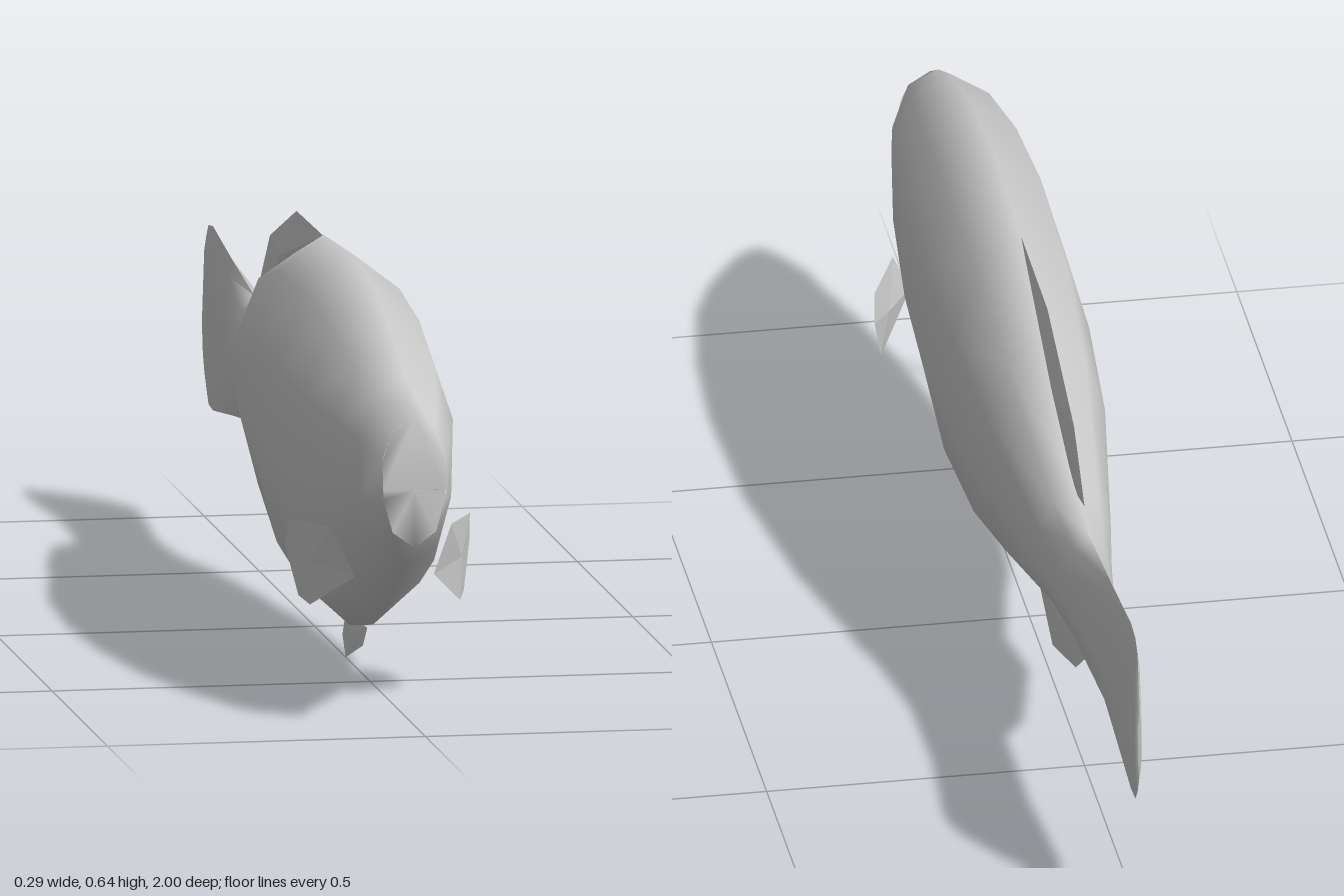
import * as THREE from 'three';
import { mergeGeometries, toCreasedNormals } from 'three/addons/utils/BufferGeometryUtils.js';

const skin = new THREE.MeshStandardMaterial({ color: 0xcccccc });
const finSkin = new THREE.MeshStandardMaterial({ color: 0xcccccc, side: THREE.DoubleSide });

// Half cross-sections from top to bottom: [x / half width, height from 0 to 1]
const BODY = [[0, 1], [0.67, 0.9], [1, 0.68], [0.97, 0.37], [0.68, 0.12], [0, 0]];
const UPPER_LIP = [[0, 1], [0.67, 0.82], [1, 0.42], [0.98, 0], [0, 0]];
const LOWER_LIP = [[0, 1], [0.97, 1], [0.97, 0.84], [0.68, 0.28], [0, 0]];

// Skins mirrored sections along z; each station is [z, top, bottom, half width]
function loft(half, stations, capFront, capBack) {
  const ring = [...half, ...half.slice(1, -1).reverse().map(([x, f]) => [-x, f])];
  const n = ring.length, pos = [], idx = [];
  for (const [z, top, bottom, w] of stations)
    for (const [x, f] of ring) pos.push(x * w, bottom + f * (top - bottom), z);
  for (let i = 0; i < stations.length - 1; i++)
    for (let j = 0; j < n; j++) {
      const a = i * n + j, b = i * n + (j + 1) % n;
      idx.push(a, b, a + n, b, b + n, a + n);
    }
  const last = (stations.length - 1) * n;
  for (let j = 1; j < n - 1; j++) {
    if (capFront) idx.push(0, j + 1, j);
    if (capBack) idx.push(last, last + j, last + j + 1);
  }
  const g = new THREE.BufferGeometry();
  g.setAttribute('position', new THREE.Float32BufferAttribute(pos, 3));
  g.setIndex(idx);
  return g.toNonIndexed();
}

// Thin fin: outline of [x, y, z] points, swelling to a ridge point on both sides
function fin(name, outline, thickness) {
  const pts = outline.map(p => new THREE.Vector3(...p));
  const mid = pts.reduce((s, p) => s.add(p), new THREE.Vector3()).divideScalar(pts.length);
  const pos = [];
  for (const side of [1, -1]) {
    const apex = mid.clone();
    apex.x += side * thickness;
    pts.forEach((p, i) => {
      const q = pts[(i + 1) % pts.length];
      for (const v of side > 0 ? [apex, p, q] : [apex, q, p]) pos.push(v.x, v.y, v.z);
    });
  }
  const g = new THREE.BufferGeometry();
  g.setAttribute('position', new THREE.Float32BufferAttribute(pos, 3));
  g.computeVertexNormals();
  const mesh = new THREE.Mesh(g, finSkin);
  mesh.name = name;
  return mesh;
}

// Fin standing on the centre line, from [z, y] points
const midFin = (name, zy, t) => fin(name, zy.map(([z, y]) => [0, y, z]), t);

export function createModel() {
  const group = new THREE.Group();
  group.name = 'fish';

  // Trunk running into the flat tail
  const trunk = loft(BODY, [
    [0.9, 0.49, 0.285, 0.05], [0.82, 0.535, 0.24, 0.073], [0.72, 0.58, 0.185, 0.092],
    [0.53, 0.63, 0.1, 0.107], [0.33, 0.65, 0.062, 0.113], [0.08, 0.635, 0.088, 0.108],
    [-0.15, 0.57, 0.155, 0.093], [-0.415, 0.45, 0.228, 0.056], [-0.54, 0.43, 0.232, 0.036],
    [-0.74, 0.452, 0.208, 0.009], [-0.92, 0.475, 0.185, 0.006], [-0.96, 0.47, 0.188, 0.006],
    [-0.98, 0.45, 0.21, 0.005], [-1, 0.36, 0.25, 0.003]], false, true);

  // Two lips leaving an open mouth between them
  const upperLip = loft(UPPER_LIP, [
    [0.9, 0.49, 0.375, 0.05], [0.955, 0.452, 0.385, 0.036],
    [0.985, 0.428, 0.39, 0.021], [1, 0.412, 0.395, 0.006]], true, false);
  const lowerLip = loft(LOWER_LIP, [
    [0.9, 0.375, 0.285, 0.05], [0.95, 0.347, 0.307, 0.032],
    [0.985, 0.34, 0.322, 0.012]], true, false);

  const body = new THREE.Mesh(
    toCreasedNormals(mergeGeometries([trunk, upperLip, lowerLip]), 1.55), skin);
  body.name = 'body';
  group.add(body);

  // Fins on the centre line
  group.add(midFin('dorsalFin', [[0.08, 0.633], [-0.165, 0.63], [-0.405, 0.55],
    [-0.5, 0.46], [-0.415, 0.44], [-0.15, 0.55]], 0.011));
  group.add(midFin('analFin', [[-0.04, 0.13], [-0.21, 0.065], [-0.42, 0.135],
    [-0.52, 0.205], [-0.43, 0.235], [-0.2, 0.185]], 0.008));
  group.add(midFin('pelvicFin', [[0.475, 0.085], [0.435, 0.05], [0.28, 0.005],
    [0.25, 0.035], [0.275, 0.07], [0.36, 0.08]], 0.004));

  // Pair of pectoral fins spreading backward
  for (const [name, s] of [['leftPectoralFin', 1], ['rightPectoralFin', -1]])
    group.add(fin(name, [[0.095, 0.283, 0.69], [0.143, 0.28, 0.58], [0.145, 0.235, 0.565],
      [0.13, 0.162, 0.6], [0.118, 0.153, 0.635], [0.062, 0.21, 0.72]]
      .map(([x, y, z]) => [s * x, y, z]), 0.006));

  return group;
}
